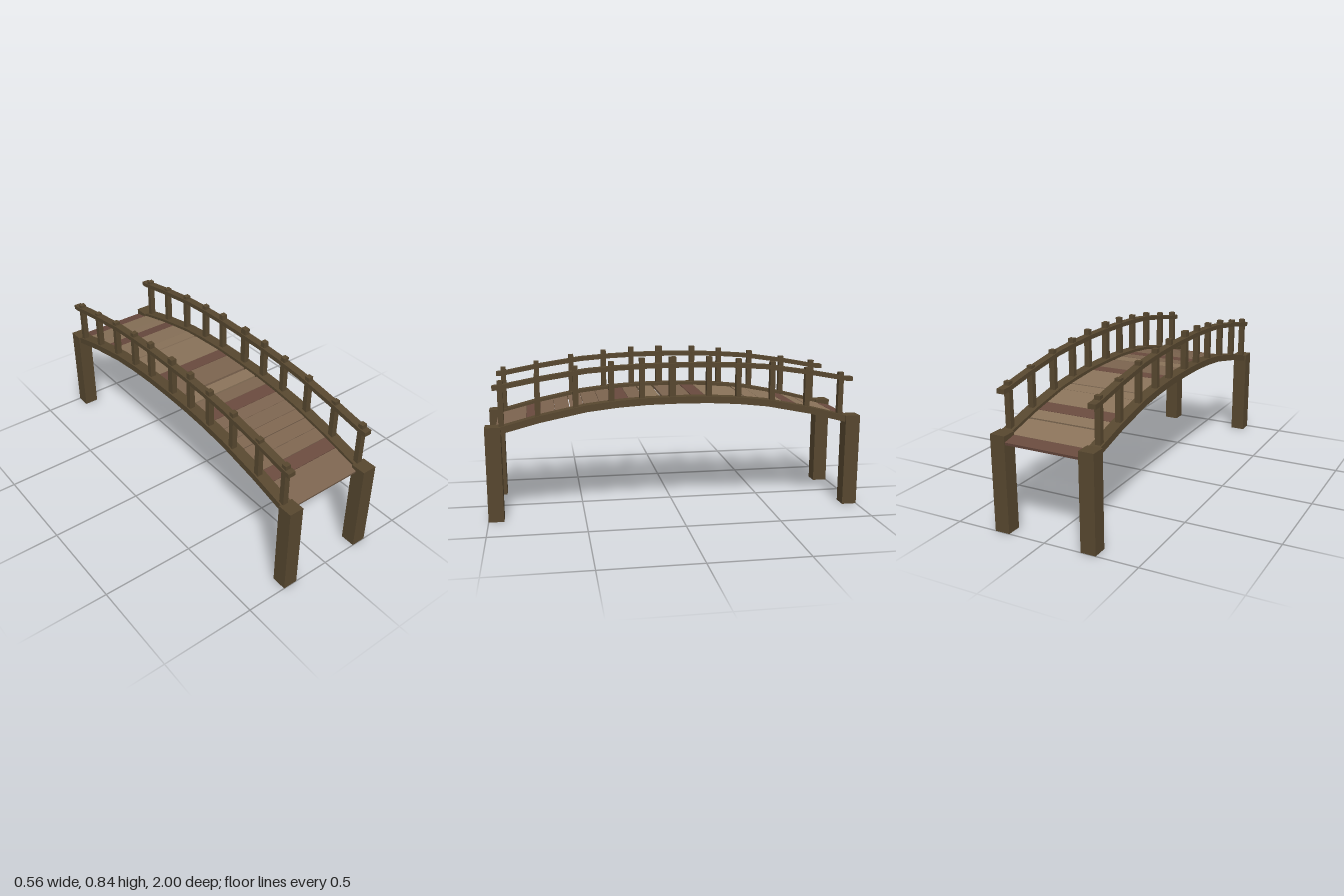
import * as THREE from 'three';

const material = (color) => new THREE.MeshStandardMaterial({ color, flatShading: true });

// Half profiles [distance from centre, height]; both are mirrored along z
const BEAM = [[0, 0.612], [0.16, 0.61], [0.32, 0.6], [0.48, 0.582], [0.72, 0.534], [0.92, 0.482], [0.97, 0.472]];
const RAIL = [[0, 0.794], [0.16, 0.793], [0.32, 0.786], [0.48, 0.774], [0.72, 0.738], [0.92, 0.701], [0.955, 0.699]];

function heightAt(profile, z) {
  const d = Math.abs(z);
  let i = 1;
  while (i < profile.length - 1 && profile[i][0] < d) i++;
  const [a, b] = [profile[i - 1], profile[i]];
  return a[1] + (b[1] - a[1]) * (d - a[0]) / (b[0] - a[0]);
}

// Arched bar of even thickness, extruded across x
function archedBar(profile, thickness, width) {
  const line = [...profile.slice(1).reverse().map(([z, y]) => [-z, y]), ...profile];
  const t = thickness / 2;
  const outline = [
    ...line.map(([z, y]) => new THREE.Vector2(z, y - t)),
    ...line.reverse().map(([z, y]) => new THREE.Vector2(z, y + t)),
  ];
  const geometry = new THREE.ExtrudeGeometry(new THREE.Shape(outline), { depth: width, bevelEnabled: false });
  geometry.translate(0, 0, -width / 2);
  geometry.rotateY(-Math.PI / 2);
  return geometry;
}

export function createModel() {
  const group = new THREE.Group();
  const darkWood = material(0x57472f);
  const plankMaterials = { tan: material(0x8a735a), brown: material(0x7c644f), red: material(0x694a3e) };

  const add = (parent, name, geometry, mat, x = 0, y = 0, z = 0) => {
    const mesh = new THREE.Mesh(geometry, mat);
    mesh.name = name;
    mesh.position.set(x, y, z);
    parent.add(mesh);
    return mesh;
  };

  // Corner pillars
  for (const x of [-0.24, 0.24]) {
    for (const z of [-0.96, 0.96]) {
      add(group, 'pillar', new THREE.BoxGeometry(0.08, 0.5, 0.08), darkWood, x, 0.25, z);
    }
  }

  // Balusters [z, top height]
  const posts = [
    [0.915, 0.735], [0.73, 0.765], [0.535, 0.8], [0.35, 0.82], [0.19, 0.835], [0.03, 0.838],
    [-0.165, 0.835], [-0.325, 0.82], [-0.51, 0.8], [-0.705, 0.765], [-0.893, 0.735],
  ];

  // Each side: arched beam, handrail and balusters
  for (const [name, x] of [['left', 0.241], ['right', -0.247]]) {
    const side = new THREE.Group();
    side.name = name + 'Side';
    group.add(side);
    add(side, 'sideBeam', archedBar(BEAM, 0.036, 0.06), darkWood, Math.sign(x) * 0.24);
    add(side, 'handrail', archedBar(RAIL, 0.024, 0.042), darkWood, x);
    for (const [z, top] of posts) {
      const width = z === 0.03 ? 0.036 : 0.028;
      const bottom = heightAt(BEAM, z);
      add(side, 'baluster', new THREE.BoxGeometry(0.03, top - bottom, width), darkWood, x, (top + bottom) / 2, z);
    }
  }

  // Deck planks [start z, end z, wood], with a few open gaps
  const planks = [
    [-0.995, -0.922, 'red'], [-0.92, -0.78, 'tan'], [-0.77, -0.697, 'tan'], [-0.695, -0.617, 'red'],
    [-0.615, -0.472, 'tan'], [-0.47, -0.395, 'tan'], [-0.385, -0.167, 'tan'], [-0.165, -0.092, 'red'],
    [-0.088, 0.066, 'brown'], [0.08, 0.16, 'tan'], [0.17, 0.248, 'brown'], [0.25, 0.328, 'red'],
    [0.33, 0.404, 'brown'], [0.406, 0.488, 'brown'], [0.49, 0.558, 'brown'], [0.562, 0.638, 'brown'],
    [0.64, 0.713, 'brown'], [0.715, 0.788, 'red'], [0.79, 0.947, 'brown'],
  ];
  const deck = new THREE.Group();
  deck.name = 'deck';
  group.add(deck);
  for (const [start, end, wood] of planks) {
    const y0 = heightAt(BEAM, start);
    const y1 = heightAt(BEAM, end);
    const length = Math.hypot(end - start, y1 - y0);
    const plank = add(deck, 'plank', new THREE.BoxGeometry(0.424, 0.014, length), plankMaterials[wood],
      0, (y0 + y1) / 2 - 0.005, (start + end) / 2);
    plank.rotation.x = -Math.atan2(y1 - y0, end - start);
  }

  return group;
}
